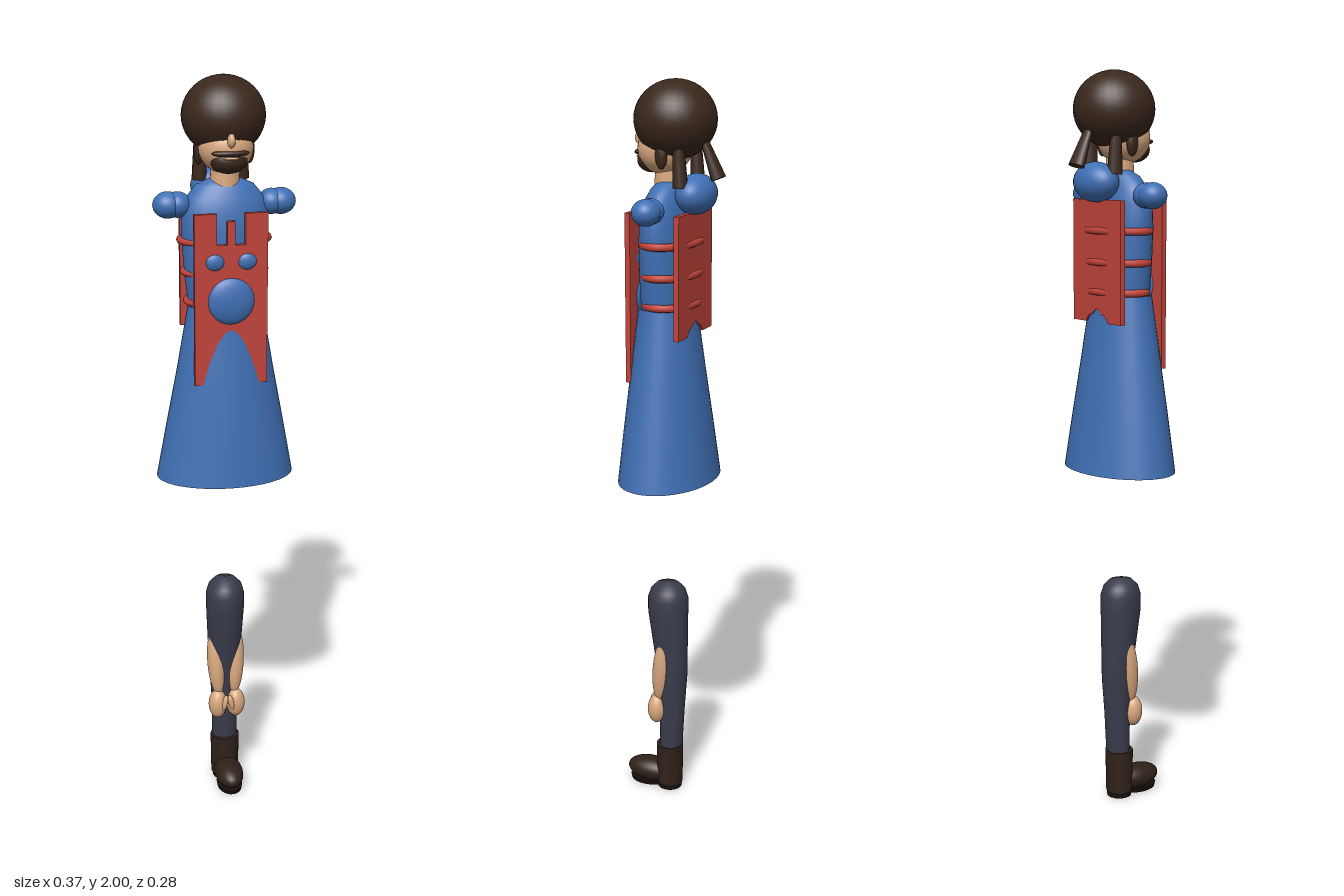
import * as THREE from 'three';

const mat = (color) => new THREE.MeshStandardMaterial({ color, side: THREE.DoubleSide });
const BLUE = mat(0x4070b5), RED = mat(0xc2443a), HAIR = mat(0x3a271c), SKIN = mat(0xd9a87f);
const CLOTH = mat(0x3a3c4c), BOOT = mat(0x302119), SOLE = mat(0x17100c);

export function createModel() {
  const model = new THREE.Group();

  const add = (name, geometry, material, x = 0, y = 0, z = 0) => {
    const mesh = new THREE.Mesh(geometry, material);
    mesh.name = name;
    mesh.position.set(x, y, z);
    model.add(mesh);
    return mesh;
  };

  // ellipsoid with centre (x, y, z) and radii (rx, ry, rz)
  const ball = (name, material, x, y, z, rx, ry, rz) => {
    const mesh = add(name, new THREE.SphereGeometry(1, 32, 20), material, x, y, z);
    mesh.scale.set(rx, ry, rz);
    return mesh;
  };

  // skin of elliptical sections, rows of [y, rx, rz, centre z] from bottom to top
  const loft = (rows, n = 40) => {
    const pos = [], index = [];
    rows.forEach(([y, rx, rz, cz]) => {
      for (let j = 0; j < n; j++) {
        const t = (j / n) * Math.PI * 2;
        pos.push(rx * Math.sin(t), y, cz + rz * Math.cos(t));
      }
    });
    for (let i = 0; i < rows.length - 1; i++) {
      for (let j = 0; j < n; j++) {
        const a = i * n + j, b = i * n + ((j + 1) % n);
        index.push(a, b, b + n, a, b + n, a + n);
      }
    }
    const g = new THREE.BufferGeometry();
    g.setAttribute('position', new THREE.Float32BufferAttribute(pos, 3));
    g.setIndex(index);
    g.computeVertexNormals();
    return g;
  };

  // flat plate cut from an outline, centred on z
  const plate = (name, shape, depth, z) => add(name,
    new THREE.ExtrudeGeometry(shape, { depth, bevelEnabled: false, curveSegments: 12 }), RED, 0, 0, z - depth / 2);

  // robe: open skirt and rounded torso
  add('skirt', loft([[0.95, 0.185, 0.128, 0.007], [1.1, 0.157, 0.111, 0.009],
    [1.25, 0.128, 0.093, 0.011], [1.42, 0.098, 0.072, 0.012]]), BLUE);
  add('torso', loft([[1.36, 0.09, 0.064, 0.01], [1.5, 0.106, 0.068, 0.01], [1.6, 0.114, 0.067, 0.01],
    [1.66, 0.113, 0.062, 0.01], [1.7, 0.1, 0.053, 0.008], [1.73, 0.075, 0.042, 0.004],
    [1.745, 0.04, 0.028, 0.002], [1.748, 0.001, 0.001, 0]]), BLUE);
  ball('hood', BLUE, 0, 1.715, -0.068, 0.075, 0.052, 0.051);

  // shoulders with short sleeve stubs
  for (const s of [1, -1]) {
    ball('shoulder', BLUE, s * 0.147, 1.682, 0.005, 0.039, 0.034, 0.037);
    ball('sleeveJoint', BLUE, s * 0.122, 1.682, 0.005, 0.035, 0.033, 0.036);
  }

  // front panel: two towers, a thin middle strip and an arched hem
  const front = new THREE.Shape();
  front.moveTo(-0.095, 1.225);
  front.lineTo(-0.058, 1.225);
  front.quadraticCurveTo(-0.045, 1.255, -0.03, 1.25);
  front.quadraticCurveTo(0, 1.325, 0.03, 1.25);
  front.quadraticCurveTo(0.045, 1.255, 0.058, 1.225);
  for (const [x, y] of [[0.095, 1.225], [0.095, 1.67], [0.037, 1.67], [0.037, 1.59], [0.01, 1.59], [0.01, 1.65],
    [-0.01, 1.65], [-0.01, 1.59], [-0.037, 1.59], [-0.037, 1.67], [-0.095, 1.67]]) front.lineTo(x, y);
  plate('frontPanel', front, 0.014, 0.083);

  // round studs on the front panel
  ball('largeStud', BLUE, 0, 1.445, 0.085, 0.062, 0.062, 0.022);
  for (const s of [1, -1]) ball('smallStud', BLUE, s * 0.042, 1.547, 0.086, 0.025, 0.022, 0.012);

  // back panel with a wavy hem
  const back = new THREE.Shape();
  back.moveTo(-0.107, 1.35);
  back.lineTo(-0.05, 1.35);
  back.quadraticCurveTo(-0.035, 1.375, -0.02, 1.37);
  back.quadraticCurveTo(0, 1.4, 0.02, 1.37);
  back.quadraticCurveTo(0.035, 1.375, 0.05, 1.35);
  for (const [x, y] of [[0.107, 1.35], [0.107, 1.67], [-0.107, 1.67]]) back.lineTo(x, y);
  plate('backPanel', back, 0.014, -0.06);

  // three straps around the torso
  [[1.59, 0.115, 0.066], [1.508, 0.107, 0.065], [1.43, 0.099, 0.064]].forEach(([y, rx, rz]) => {
    const path = new THREE.CatmullRomCurve3(Array.from({ length: 24 }, (_, i) => {
      const t = (i / 24) * Math.PI * 2;
      return new THREE.Vector3(rx * Math.sin(t), y, rz * Math.cos(t));
    }), true);
    add('strap', new THREE.TubeGeometry(path, 48, 0.01, 8, true), RED);
  });

  // head, face and beard
  add('neck', new THREE.CylinderGeometry(0.034, 0.04, 0.1, 24), SKIN, 0, 1.755, 0.008);
  ball('face', SKIN, 0, 1.825, 0.02, 0.07, 0.065, 0.07);
  ball('hair', HAIR, 0, 1.9, -0.01, 0.107, 0.1, 0.107);
  ball('nose', SKIN, 0, 1.85, 0.088, 0.01, 0.018, 0.016);
  ball('beard', HAIR, 0, 1.797, 0.054, 0.048, 0.033, 0.038);
  ball('moustache', HAIR, 0, 1.818, 0.078, 0.048, 0.009, 0.016);
  ball('mouth', SKIN, 0, 1.806, 0.088, 0.02, 0.004, 0.008);

  // sideburns and hanging locks
  for (const s of [1, -1]) {
    ball('sideburn', HAIR, s * 0.066, 1.815, 0.0, 0.012, 0.035, 0.016);
    const lock = add('sideLock', new THREE.CylinderGeometry(0.014, 0.02, 0.12, 10), HAIR, s * 0.055, 1.795, -0.045);
    lock.rotation.x = 0.05;
  }
  const tail = add('ponytail', new THREE.CylinderGeometry(0.016, 0.029, 0.1, 12), HAIR, 0, 1.802, -0.11);
  tail.scale.z = 0.6;
  tail.rotation.x = 0.4;

  // trouser leg
  add('trouserLeg', loft([[0.1, 0.035, 0.03, 0.003], [0.25, 0.036, 0.036, 0], [0.35, 0.042, 0.041, -0.002],
    [0.45, 0.048, 0.049, 0.005], [0.55, 0.053, 0.057, 0.012], [0.59, 0.053, 0.057, 0.012],
    [0.615, 0.046, 0.049, 0.012], [0.632, 0.03, 0.032, 0.012], [0.638, 0.001, 0.001, 0.012]]), CLOTH);

  // bare forearms and hands resting against the leg
  for (const s of [1, -1]) {
    const arm = ball('forearm', SKIN, s * 0.028, 0.375, 0.02, 0.024, 0.1, 0.026);
    arm.rotation.x = -0.1;
    arm.rotation.z = -s * 0.06;
    ball('hand', SKIN, s * 0.026, 0.252, 0.036, 0.026, 0.043, 0.026);
    const thumb = ball('thumb', SKIN, s * 0.009, 0.262, 0.056, 0.008, 0.024, 0.009);
    thumb.rotation.z = s * 0.2;
  }

  // boot
  const shaft = add('bootShaft', new THREE.CylinderGeometry(0.041, 0.039, 0.12, 28), BOOT, 0, 0.076, 0.007);
  shaft.scale.z = 0.92;
  ball('bootFoot', BOOT, 0, 0.042, 0.066, 0.04, 0.034, 0.071);
  const sole = add('bootSole', new THREE.CylinderGeometry(0.036, 0.034, 0.012, 28), SOLE, 0, 0.009, 0.075);
  sole.scale.z = 1.5;
  add('bootHeel', new THREE.CylinderGeometry(0.035, 0.034, 0.022, 28), SOLE, 0, 0.011, 0.007);

  return model;
}
